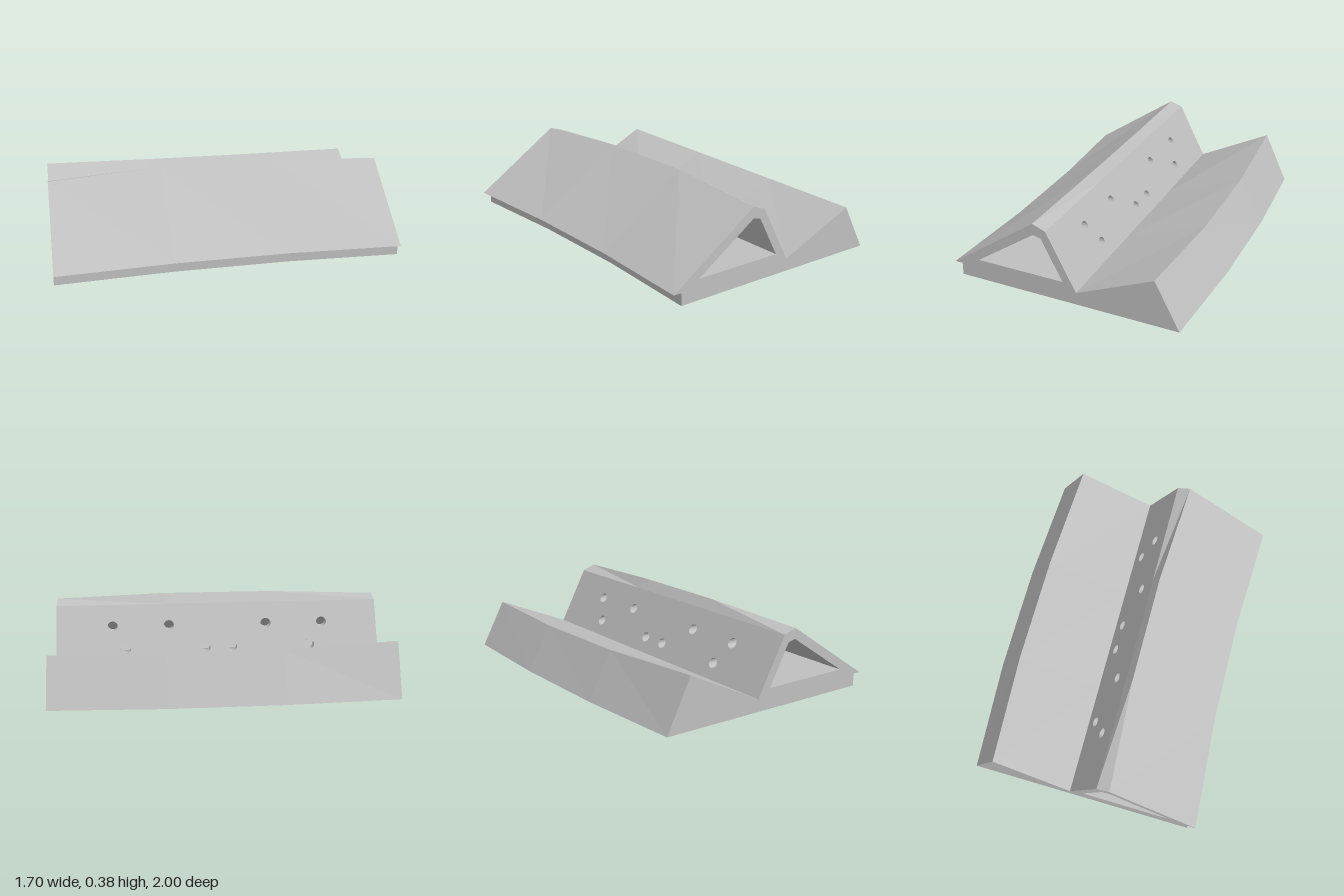
import * as THREE from 'three';

const LEN = 1.643, SEG = 3, R = 0.026;
const bodyGrey = new THREE.MeshStandardMaterial({ color: 0xbfbfbf, flatShading: true, side: THREE.DoubleSide });
bodyGrey.name = 'bodyGrey';

// Local frame: u across the rail, y up, w along the rail from the front end
const place = (u, y, w) => new THREE.Vector3(-0.85 + 0.9 * u + 0.407 * w, y, 0.5 + 0.437 * u - 0.913 * w);

// Outer cross-section at t (0 front, 1 back); the outer edges bow sideways
function profile(t) {
  const b = 0.132 * t * (1 - t);
  return [
    [-b, 0], [0.12 - b, 0.25 - 0.087 * t + 0.062 * t * t], [0.5, 0.06], [0.645, 0.335],
    [0.71 - b, 0.355 + 0.005 * t + 0.115 * t * (1 - t)], [1.145 - b, 0.06], [1.105 - b, 0.06], [1.105 - b, 0],
  ];
}
const tunnel = [[0.567, 0.1], [0.67, 0.295], [0.708, 0.305], [1.01, 0.1]];

export function createModel() {
  const group = new THREE.Group();
  const add = (name, geo) => {
    geo.computeVertexNormals();
    const mesh = new THREE.Mesh(geo, bodyGrey);
    mesh.name = name;
    group.add(mesh);
  };

  // Quad strip joining two rows of points
  function strip(name, rowA, rowB) {
    const pts = [];
    for (let i = 0; i + 1 < rowA.length; i++) {
      pts.push(rowA[i], rowA[i + 1], rowB[i + 1], rowA[i], rowB[i + 1], rowB[i]);
    }
    add(name, new THREE.BufferGeometry().setFromPoints(pts));
  }

  // Flat plate with round or polygon holes, its 2D points sent to 3D by map
  function plate(name, outline, holes, map) {
    const toV = (p) => new THREE.Vector2(p[0], p[1]);
    const shape = new THREE.Shape(outline.map(toV));
    holes.forEach((h) => shape.holes.push(new THREE.Path(h.map(toV))));
    const geo = new THREE.ShapeGeometry(shape);
    const pos = geo.attributes.position;
    for (let i = 0; i < pos.count; i++) {
      const v = map(pos.getX(i), pos.getY(i));
      pos.setXYZ(i, v.x, v.y, v.z);
    }
    add(name, geo.toNonIndexed());
  }
  const ring = (s, w) => Array.from({ length: 16 }, (_, i) => {
    const a = (i / 16) * Math.PI * 2;
    return [s + R * Math.cos(a), w + R * Math.sin(a)];
  });
  const closed = (pts, map) => [...pts, pts[0]].map((p) => map(p[0], p[1]));

  // Outer long faces (the holed ridge side and underside are plates below)
  const sections = Array.from({ length: SEG + 1 }, (_, i) => profile(i / SEG));
  const row = (k) => sections.map((s, i) => place(s[k][0], s[k][1], (LEN * i) / SEG));
  const faces = { wingOuter: 0, wingInner: 1, ridgeTop: 3, slope: 4, lipUnderside: 5, baseSide: 6 };
  for (const [name, k] of Object.entries(faces)) strip(name, row(k), row(k + 1));

  // End faces with the tunnel opening
  for (const t of [0, 1]) {
    plate(t ? 'backEnd' : 'frontEnd', profile(t), [tunnel], (u, y) => place(u, y, LEN * t));
  }

  // Plain tunnel walls
  for (const [i, name] of [[1, 'tunnelTop'], [2, 'tunnelSlope']]) {
    const line = (w) => [tunnel[i], tunnel[i + 1]].map((p) => place(p[0], p[1], w));
    strip(name, line(0), line(LEN));
  }

  // Screw holes: [height on ridge side, u in floor, distance from back as a fraction]
  const holes = [
    [0.235, 0.685, 0.171], [0.13, 0.59, 0.211], [0.235, 0.642, 0.345], [0.13, 0.59, 0.457],
    [0.13, 0.585, 0.54], [0.235, 0.65, 0.648], [0.13, 0.747, 0.783], [0.235, 0.658, 0.825],
  ].map(([y, u, f]) => ({ y, u, w: LEN * (1 - f) }));

  // Ridge side wall: outer and inner plates share the slope direction
  const dir = new THREE.Vector2(0.145, 0.275).normalize();
  const onSlope = (u0, y0) => (s, w) => place(u0 + dir.x * s, y0 + dir.y * s, w);
  const outer = onSlope(0.5, 0.06), inner = onSlope(0.567, 0.1);
  const rect = (a, b) => [[a, 0], [b, 0], [b, LEN], [a, LEN]];
  const outRings = holes.map((h) => ring((h.y - 0.06) / dir.y, h.w));
  const inRings = holes.map((h) => ring((h.y - 0.1) / dir.y, h.w));
  plate('ridgeSide', rect(0, Math.hypot(0.145, 0.275)), outRings, outer);
  plate('tunnelSide', rect(0, Math.hypot(0.103, 0.195)), inRings, inner);

  // Underside and tunnel floor
  const under = (u, w) => place(u, 0, w), floor = (u, w) => place(u, 0.1, w);
  const edge = (k) => sections.map((s, i) => [s[k][0], (LEN * i) / SEG]);
  const lowRings = holes.map((h) => ring(h.u, h.w));
  const floorRings = holes.map((h) => ring(Math.max(h.u, 0.6), h.w));
  plate('underside', [...edge(0), ...edge(7).reverse()], lowRings, under);
  plate('tunnelFloor', rect(0.567, 1.01), floorRings, floor);

  // Hole linings
  holes.forEach((h, i) => {
    strip('sideHole', closed(outRings[i], outer), closed(inRings[i], inner));
    strip('floorHole', closed(lowRings[i], under), closed(floorRings[i], floor));
  });
  return group;
}
